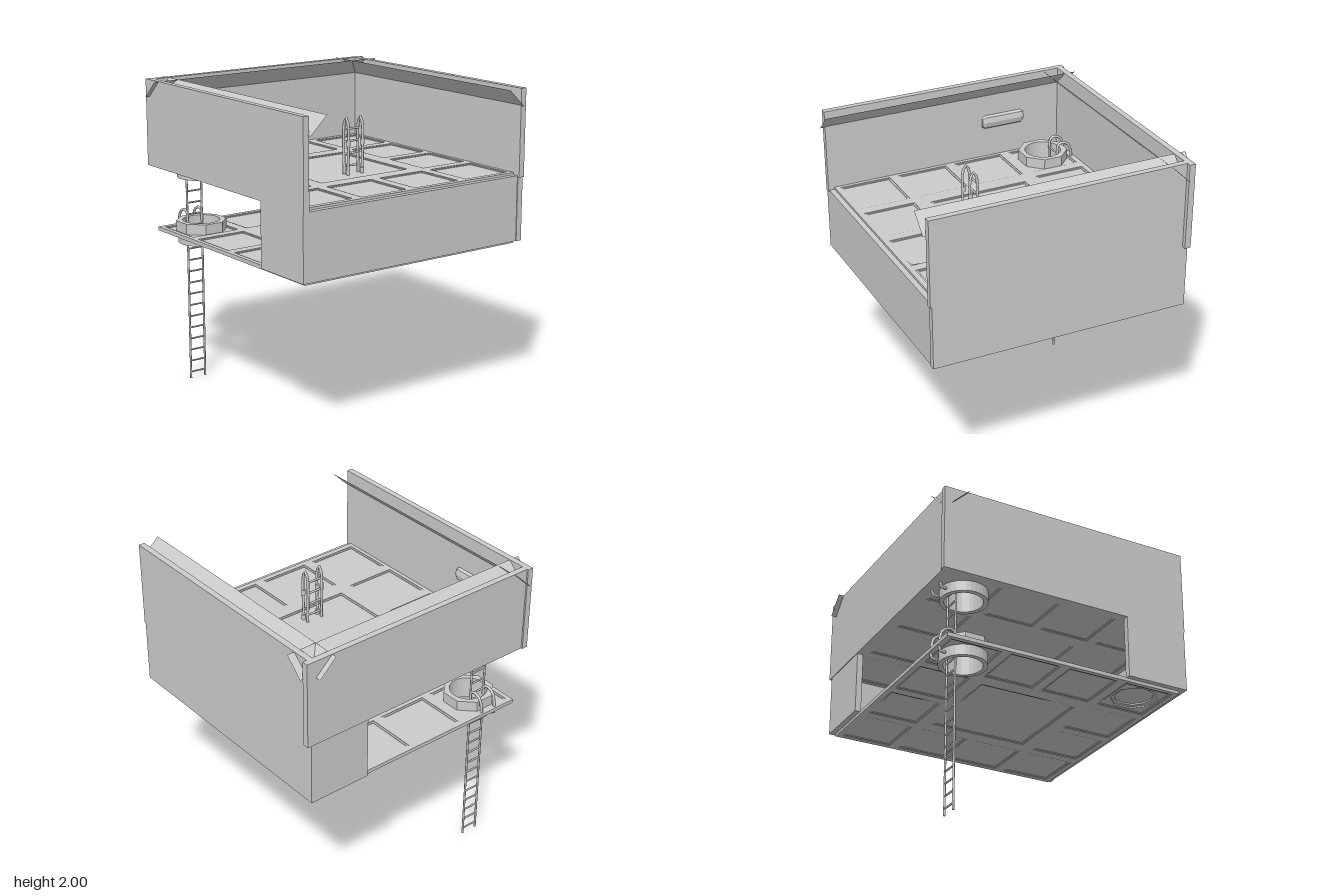
import * as THREE from 'three';

export function createModel() {
  const model = new THREE.Group();
  const mat = new THREE.MeshStandardMaterial({ color: 0xcccccc, side: THREE.DoubleSide });
  const flat = new THREE.MeshStandardMaterial({ color: 0xcccccc, side: THREE.DoubleSide, flatShading: true });

  const add = (parent, name, geo, material = mat) => {
    const mesh = new THREE.Mesh(geo, material);
    mesh.name = name;
    parent.add(mesh);
    return mesh;
  };
  const group = (name, parent = model) => {
    const g = new THREE.Group();
    g.name = name;
    parent.add(g);
    return g;
  };
  // box given by its limits
  const box = (parent, name, x0, x1, y0, y1, z0, z1) =>
    add(parent, name, new THREE.BoxGeometry(x1 - x0, y1 - y0, z1 - z0))
      .position.set((x0 + x1) / 2, (y0 + y1) / 2, (z0 + z1) / 2);
  const rectangle = (x, z, w, d) => new THREE.Shape([
    new THREE.Vector2(x - w / 2, z - d / 2), new THREE.Vector2(x + w / 2, z - d / 2),
    new THREE.Vector2(x + w / 2, z + d / 2), new THREE.Vector2(x - w / 2, z + d / 2)]);
  const polygon = (x, z, r, n, turn = 0) => {
    const pts = [];
    for (let i = 0; i < n; i++) {
      const a = turn + (i / n) * Math.PI * 2;
      pts.push(new THREE.Vector2(x + r * Math.cos(a), z + r * Math.sin(a)));
    }
    return new THREE.Shape(pts);
  };
  // horizontal plate: shape drawn in x/z, between two heights
  const plate = (parent, name, shape, holes, y0, y1) => {
    shape.holes = holes;
    const geo = new THREE.ExtrudeGeometry(shape, { depth: y1 - y0, bevelEnabled: false });
    geo.rotateX(Math.PI / 2);
    return add(parent, name, geo, flat).position.y = y1;
  };
  const tube = (parent, name, pts, r, curved = false) => {
    const v = pts.map(p => new THREE.Vector3(...p));
    const curve = curved ? new THREE.CatmullRomCurve3(v, false, 'centripetal') : new THREE.LineCurve3(v[0], v[1]);
    return add(parent, name, new THREE.TubeGeometry(curve, curved ? 24 : 1, r, 8));
  };

  const hx = -0.62, hz = -0.605, oct = Math.PI / 8;

  // Floor with recessed panels on both faces; the middle four are one panel
  const floor = (name, y, extraHatch) => {
    const g = group(name);
    const outline = () => rectangle(-0.01, 0, 1.62, 1.62);
    const panels = inset => {
      const list = [rectangle(-0.012, 0, 0.67 - inset, 0.67 - inset)];
      for (let i = 0; i < 4; i++) for (let j = 0; j < 4; j++) {
        if (i % 3 && j % 3) continue;
        list.push(rectangle(-0.62 + i * 0.405, -0.605 + j * 0.403, 0.34 - inset, 0.34 - inset));
      }
      return list;
    };
    const openings = [polygon(hx, hz, 0.12, 32)];
    if (extraHatch) openings.push(polygon(hx, 0.605, 0.15, 8, oct));
    plate(g, 'floorSlab', outline(), openings, y + 0.008, y + 0.017);
    plate(g, 'topFrameInner', outline(), panels(0.025), y + 0.017, y + 0.021);
    plate(g, 'topFrameOuter', outline(), panels(0), y + 0.021, y + 0.025);
    plate(g, 'bottomFrameInner', outline(), panels(0.025), y + 0.004, y + 0.008);
    plate(g, 'bottomFrameOuter', outline(), panels(0), y, y + 0.004);

    // Round hatch: octagonal rim above, round collar below
    plate(g, 'hatchRim', polygon(hx, hz, 0.164, 8, oct), [polygon(hx, hz, 0.12, 32)], y + 0.015, y + 0.085);
    const profile = [[0.12, -0.06], [0.15, -0.06], [0.15, 0.01], [0.12, 0.01], [0.12, -0.06]]
      .map(p => new THREE.Vector2(...p));
    add(g, 'hatchCollar', new THREE.LatheGeometry(profile, 32), flat).position.set(hx, y, hz);

    // Hooks of the ladder over the hatch rim
    for (const s of [-1, 1]) {
      const x = hx + s * 0.055;
      tube(g, 'ladderHook', [[x, y + 0.06, -0.685], [x, y + 0.12, -0.69], [x, y + 0.135, -0.72],
        [x, y + 0.11, -0.77], [x, y + 0.02, -0.79], [x, y - 0.025, -0.785], [x, y - 0.03, -0.75]], 0.009, true);
    }
    if (extraHatch) {
      plate(g, 'closedHatchRim', polygon(hx, 0.605, 0.164, 8, oct), [polygon(hx, 0.605, 0.12, 32)], y + 0.02, y + 0.085);
      plate(g, 'closedHatchLid', polygon(hx, 0.605, 0.125, 32), [], y + 0.03, y + 0.045);
    }
  };
  floor('lowerFloor', 1.01, true);
  floor('upperFloor', 1.44, false);

  // Lower walls, open at the back corner by the ladder
  const lower = group('lowerWalls');
  box(lower, 'lowerFrontWall', -0.815, 0.79, 1.03, 1.45, 0.805, 0.845);
  box(lower, 'lowerSideWall', 0.79, 0.83, 1.03, 1.44, -0.805, 0.85);
  box(lower, 'lowerBackWall', 0.41, 0.83, 1.03, 1.44, -0.845, -0.805);
  box(lower, 'lowerShortWall', -0.855, -0.815, 1.03, 1.44, 0.42, 0.845);

  // Upper walls, open at the front
  const upper = group('upperWalls');
  box(upper, 'upperLeftWall', 0.79, 0.83, 1.44, 2, -0.81, 0.86);
  box(upper, 'upperRightWall', -0.855, -0.815, 1.44, 2, -0.86, 0.85);
  box(upper, 'upperBackWall', -0.825, 0.858, 1.44, 2, -0.85, -0.81);

  // Thin slanted strips along the wall tops
  const strip = (name, a, b, c, d) => {
    const geo = new THREE.BufferGeometry();
    geo.setAttribute('position', new THREE.Float32BufferAttribute([...a, ...b, ...c, ...d], 3));
    geo.setIndex([0, 1, 2, 0, 2, 3]);
    geo.computeVertexNormals();
    add(model, name, geo);
  };
  strip('backCove', [-0.885, 1.89, -0.815], [0.88, 1.89, -0.815], [0.88, 2, -0.7], [-0.885, 2, -0.7]);
  strip('leftCove', [0.795, 1.89, -0.885], [0.795, 1.89, 0.88], [0.68, 2, 0.88], [0.68, 2, -0.885]);
  strip('rightCove', [-0.825, 1.89, 0.88], [-0.825, 1.89, -0.885], [-0.71, 2, -0.885], [-0.71, 2, 0.88]);

  // Faceted wall lamp with tapered ends
  const lamp = add(model, 'wallLamp', new THREE.LatheGeometry(
    [[0, -0.15], [0.035, -0.15], [0.05, -0.13], [0.05, 0.13], [0.035, 0.15], [0, 0.15]]
      .map(p => new THREE.Vector2(...p)), 8), flat);
  lamp.rotation.x = Math.PI / 2;
  lamp.scale.x = 0.6;
  lamp.position.set(-0.82, 1.71, -0.4);

  // Long ladder through both hatches
  const ladder = group('longLadder');
  for (const s of [-1, 1])
    tube(ladder, 'ladderRail', [[hx + s * 0.055, 0, -0.685], [hx + s * 0.055, 1.56, -0.685]], 0.007);
  for (let y = 0.043; y < 1.56; y += 0.0768)
    tube(ladder, 'ladderRung', [[hx - 0.06, y, -0.685], [hx + 0.06, y, -0.685]], 0.006);

  // Short ladder standing on the middle panel
  const short = group('shortLadder');
  for (const x of [-0.07, 0.04]) {
    tube(short, 'shortLadderRail', [[x, 1.46, 0.195], [x, 1.78, 0.195], [x, 1.815, 0.215],
      [x, 1.78, 0.235], [x, 1.46, 0.235]], 0.009, true);
    for (const y of [1.48, 1.66])
      add(short, 'railClamp', new THREE.CylinderGeometry(0.014, 0.014, 0.035, 10)).position.set(x, y, 0.235);
  }
  for (const y of [1.51, 1.588, 1.665, 1.742])
    tube(short, 'shortLadderRung', [[-0.07, y, 0.195], [0.04, y, 0.195]], 0.007);

  return model;
}
